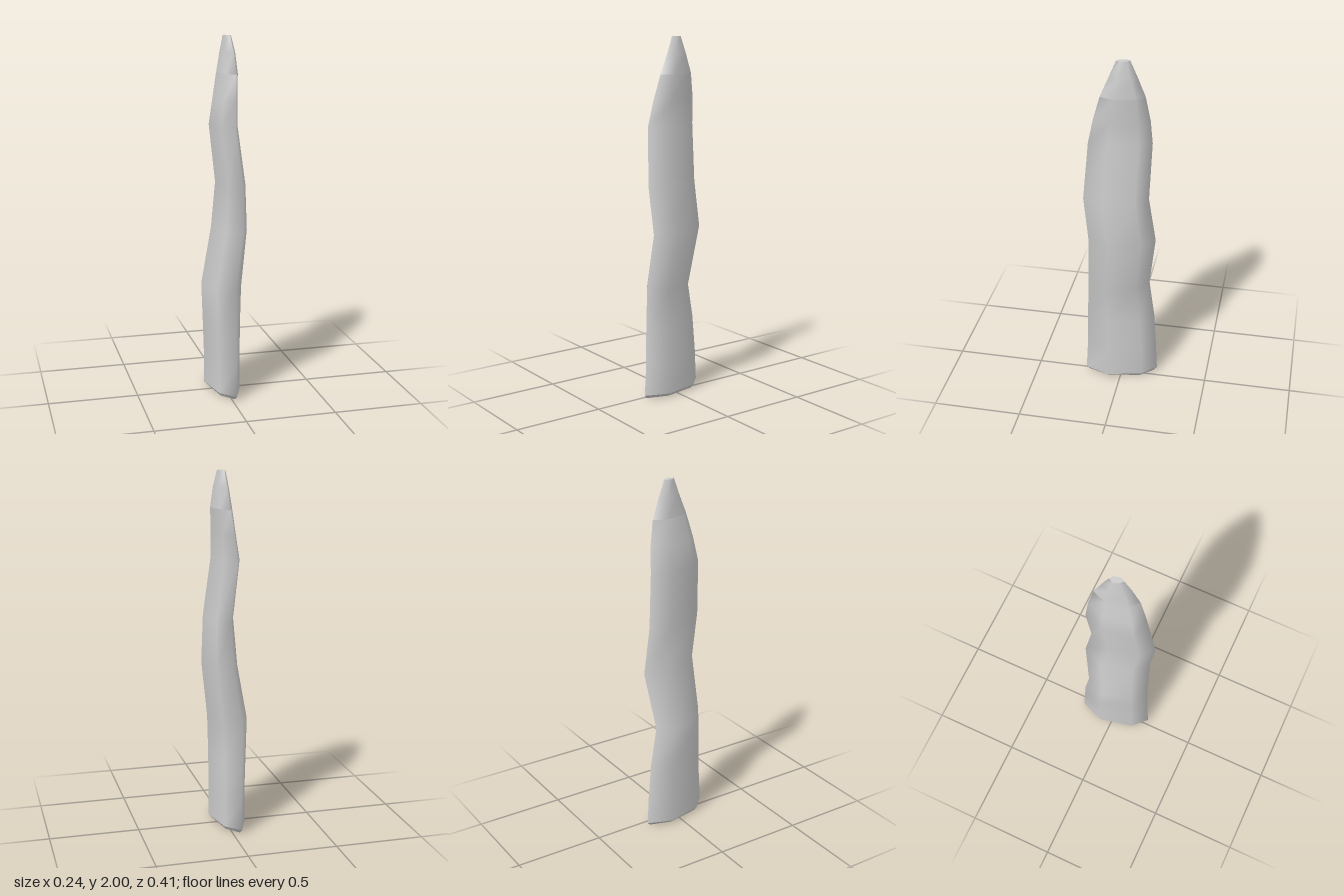
import * as THREE from 'three';

// Skewed six-sided cross-section, as fractions of each ring's half width (x) and half depth (z)
const SECTION = [[-1, -0.35], [-0.42, -1], [0.5, -0.62], [1, 0.35], [0.42, 1], [-0.5, 0.62]];

// Rings: height, min x, max x, min z, max z
const BASE = [
  [0, -0.08, 0.055, -0.185, 0.19],
  [0.02, -0.1, 0.075, -0.205, 0.21],
];
const SHAFT = [
  [0.02, -0.1, 0.075, -0.205, 0.21],
  [0.2, -0.1, 0.075, -0.196, 0.2],
  [0.4, -0.108, 0.076, -0.182, 0.197],
  [0.62, -0.12, 0.08, -0.15, 0.19],
  [0.94, -0.055, 0.118, -0.19, 0.175],
  [1.2, -0.04, 0.1, -0.15, 0.203],
  [1.52, -0.072, 0.06, -0.16, 0.18],
  [1.66, -0.05, 0.063, -0.15, 0.15],
  [1.8, -0.03, 0.07, -0.125, 0.11],
];
const TIP = [
  [1.8, -0.03, 0.07, -0.125, 0.11],
  [1.91, -0.015, 0.06, -0.083, 0.063],
  [2, 0, 0.04, -0.045, 0.025],
];

const ringPoints = ([y, x0, x1, z0, z1]) => SECTION.map(([u, w]) =>
  [(x0 + x1) / 2 + u * (x1 - x0) / 2, y, (z0 + z1) / 2 + w * (z1 - z0) / 2]);

// Joins successive rings into a smooth skin
function loft(name, rings, material) {
  const n = SECTION.length;
  const index = [];
  for (let r = 0; r < rings.length - 1; r++) {
    for (let i = 0; i < n; i++) {
      const a = r * n + i, b = r * n + (i + 1) % n;
      index.push(a, a + n, b, b, a + n, b + n);
    }
  }
  return build(name, rings.flatMap(ringPoints), index, material);
}

// Closes a ring with a flat face
function cap(name, ring, up, material) {
  const index = [];
  for (let i = 1; i < SECTION.length - 1; i++) index.push(0, ...(up ? [i + 1, i] : [i, i + 1]));
  return build(name, ringPoints(ring), index, material);
}

function build(name, points, index, material) {
  const geometry = new THREE.BufferGeometry();
  geometry.setAttribute('position', new THREE.Float32BufferAttribute(points.flat(), 3));
  geometry.setIndex(index);
  geometry.computeVertexNormals();
  const mesh = new THREE.Mesh(geometry, material);
  mesh.name = name;
  return mesh;
}

export function createModel() {
  const material = new THREE.MeshStandardMaterial({ color: 0xcccccc });
  const group = new THREE.Group();
  group.name = 'crookedSpike';
  group.add(
    cap('baseFace', BASE[0], false, material),
    loft('baseBevel', BASE, material),
    loft('shaft', SHAFT, material),
    loft('tip', TIP, material),
    cap('tipFace', TIP[TIP.length - 1], true, material),
  );
  return group;
}
